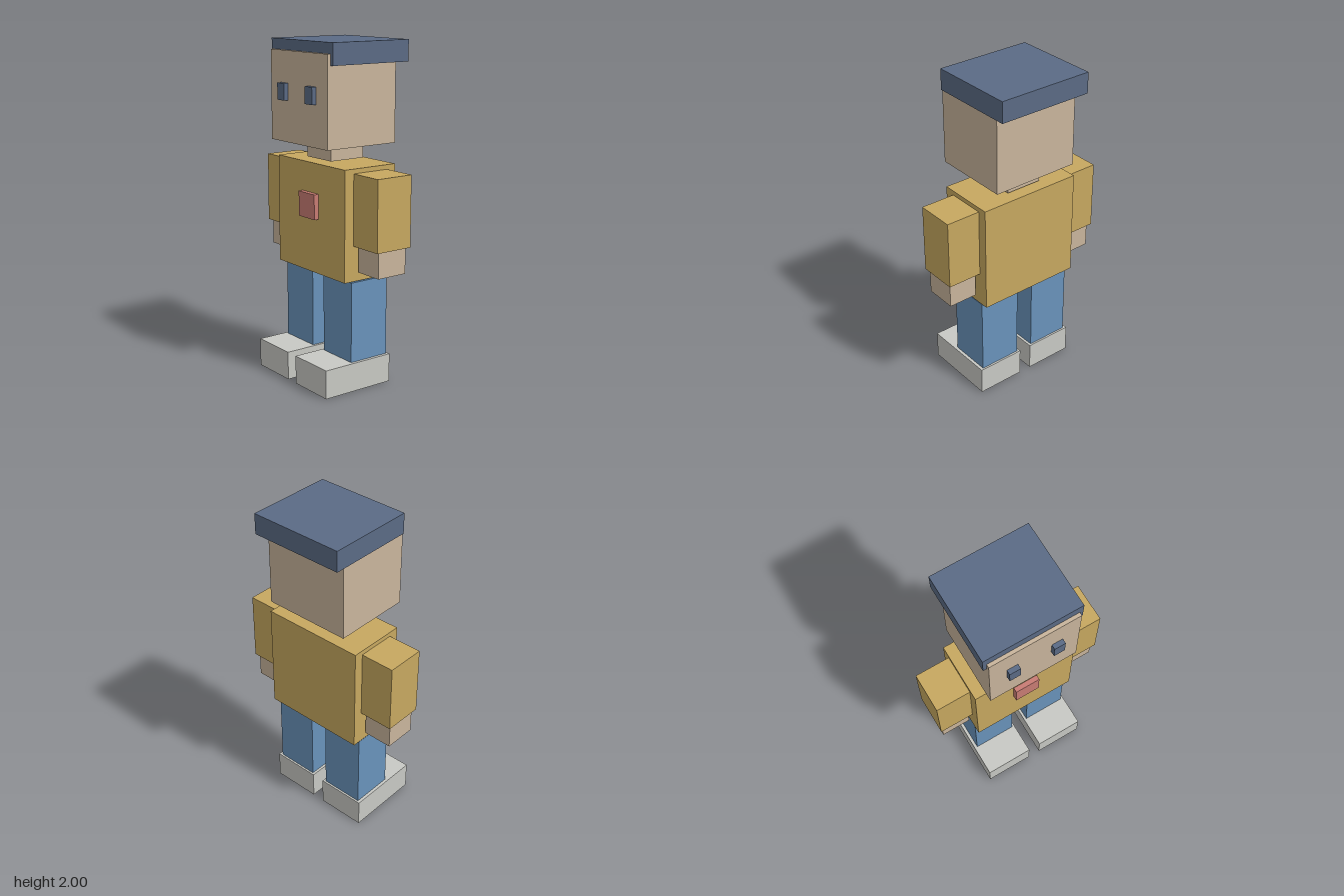
import * as THREE from 'three';

const mat = (name, color) => {
  const m = new THREE.MeshStandardMaterial({ color });
  m.name = name;
  return m;
};

export function createModel() {
  const skin = mat('skin', 0xc9b59c);
  const shirt = mat('mustard', 0xc7a860);
  const denim = mat('blue', 0x6993bb);
  const shoe = mat('light grey', 0xc8c9c4);
  const navy = mat('navy', 0x5b6b85);
  const red = mat('red', 0xc97c74);

  const model = new THREE.Group();
  model.name = 'blockFigure';

  // Box given by its extents along each axis
  const block = (name, material, [x0, x1], [y0, y1], [z0, z1]) => {
    const mesh = new THREE.Mesh(new THREE.BoxGeometry(x1 - x0, y1 - y0, z1 - z0), material);
    mesh.position.set((x0 + x1) / 2, (y0 + y1) / 2, (z0 + z1) / 2);
    mesh.name = name;
    model.add(mesh);
  };

  // Same box on both sides of the body
  const pair = (name, material, [x0, x1], y, z) => {
    block('left' + name, material, [x0, x1], y, z);
    block('right' + name, material, [-x1, -x0], y, z);
  };

  // Legs and shoes
  pair('Shoe', shoe, [0.039, 0.34], [0, 0.17], [-0.156, 0.309]);
  pair('Leg', denim, [0.055, 0.321], [0.17, 0.647], [-0.144, 0.115]);

  // Torso, badge and arms
  block('torso', shirt, [-0.325, 0.325], [0.655, 1.304], [-0.192, 0.167]);
  block('badge', red, [-0.077, 0.077], [0.98, 1.128], [0.167, 0.197]);
  pair('Sleeve', shirt, [0.325, 0.537], [0.862, 1.277], [-0.134, 0.105]);
  pair('Hand', skin, [0.342, 0.521], [0.71, 0.862], [-0.112, 0.083]);

  // Neck, head, eyes and cap
  block('neck', skin, [-0.114, 0.114], [1.317, 1.414], [-0.128, 0.105]);
  block('head', skin, [-0.273, 0.273], [1.414, 1.938], [-0.234, 0.248]);
  pair('Eye', navy, [0.102, 0.169], [1.656, 1.754], [0.248, 0.277]);
  block('cap', navy, [-0.295, 0.295], [1.875, 2], [-0.309, 0.227]);

  return model;
}
